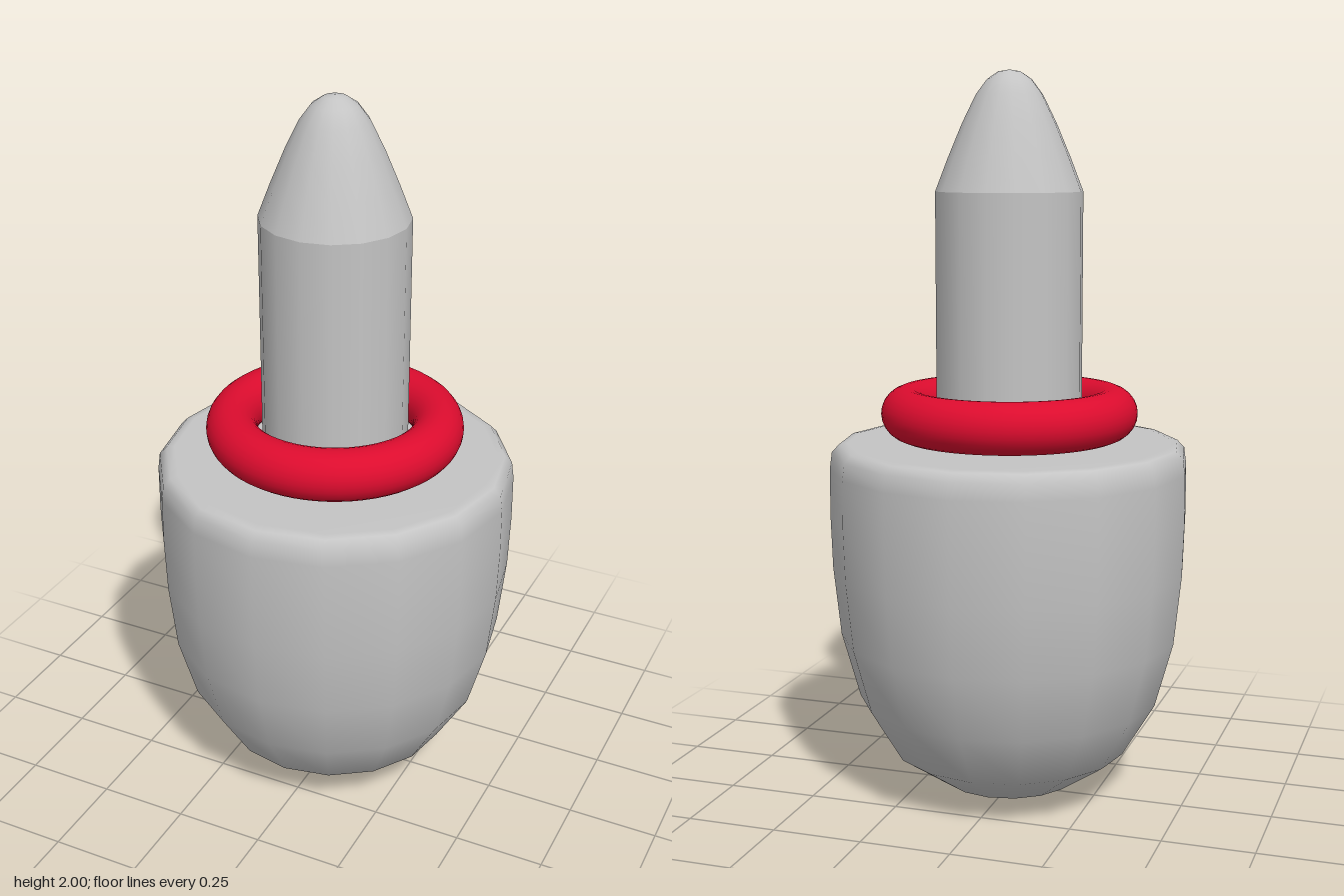
import * as THREE from 'three';

const SIDES = 16;

export function createModel() {
  const group = new THREE.Group();

  const grey = new THREE.MeshStandardMaterial({ color: 0xc4c4c4 });
  grey.name = 'light grey';
  const red = new THREE.MeshStandardMaterial({ color: 0xdc0c2e });
  red.name = 'red';

  function add(name, geometry, material) {
    const mesh = new THREE.Mesh(geometry, material);
    mesh.name = name;
    group.add(mesh);
    return mesh;
  }

  // Turned part from [radius, height] pairs, listed bottom to top
  const turned = (pairs) =>
    new THREE.LatheGeometry(pairs.map(([r, y]) => new THREE.Vector2(r, y)), SIDES);

  // Rounded bowl-shaped base with a soft rim and flat top
  add('base', turned([
    [0, 0], [0.19, 0.035], [0.33, 0.13], [0.42, 0.28], [0.47, 0.46], [0.49, 0.65],
    [0.495, 0.8], [0.494, 0.93], [0.488, 0.975], [0.468, 0.996], [0.445, 1], [0, 1],
  ]), grey);

  // Straight pin rising from the base
  const pin = add('pin', new THREE.CylinderGeometry(0.2, 0.2, 0.69, SIDES, 1, true), grey);
  pin.position.y = 1.335;

  // Bullet-shaped tip
  add('tip', turned([
    [0.2, 1.68], [0.165, 1.77], [0.127, 1.86], [0.09, 1.935],
    [0.06, 1.975], [0.03, 1.995], [0, 2],
  ]), grey);

  // Ring around the pin, just above the base
  const ring = add('ring', new THREE.TorusGeometry(0.282, 0.07, 24, 64), red);
  ring.rotation.x = Math.PI / 2;
  ring.position.y = 1.08;

  return group;
}
